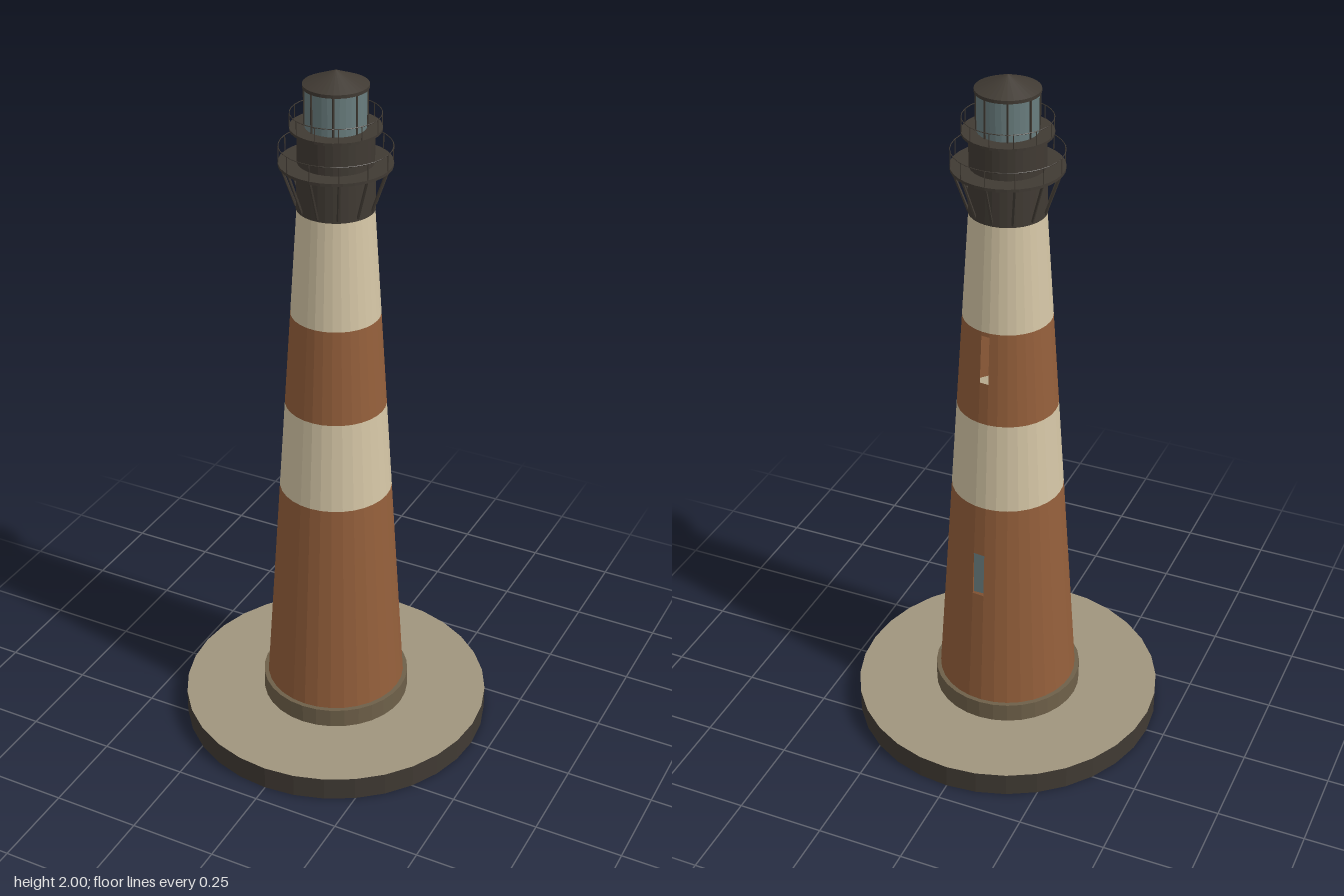
import * as THREE from 'three';

const SEG = 32, STEP = (Math.PI * 2) / SEG;

export function createModel() {
  const group = new THREE.Group();
  const mat = (name, color) => {
    const m = new THREE.MeshStandardMaterial({ color, flatShading: true, side: THREE.DoubleSide });
    m.name = name;
    return m;
  };
  const brick = mat('brick red', 0x945f3b);
  const cream = mat('cream', 0xd5c6a6);
  const stone = mat('pale stone', 0xa0957e);
  const plinthStone = mat('brown stone', 0x6e6049);
  const iron = mat('dark iron', 0x403a33);
  const glass = mat('glass', 0x697d7e);

  const add = (name, geo, material, parent = group) => {
    const mesh = new THREE.Mesh(geo, material);
    mesh.name = name;
    parent.add(mesh);
    return mesh;
  };
  // upright tube or solid drum between two heights
  const drum = (name, y0, y1, r0, r1, material, open = false, start = 0, segs = SEG) => {
    const geo = new THREE.CylinderGeometry(r1, r0, y1 - y0, segs, 1, open, start, segs * STEP);
    return add(name, geo.translate(0, (y0 + y1) / 2, 0), material);
  };
  // flat horizontal ring
  const ring = (name, y, inner, outer, material) => {
    const geo = new THREE.RingGeometry(inner, outer, SEG).rotateX(-Math.PI / 2);
    return add(name, geo.translate(0, y, 0), material);
  };
  // thin bar between two points
  const bar = (name, a, b, r, material, parent) => {
    const path = new THREE.LineCurve3(a, b);
    return add(name, new THREE.TubeGeometry(path, 1, r, 5), material, parent);
  };
  const polar = (r, y, t) => new THREE.Vector3(r * Math.sin(t), y, r * Math.cos(t));

  // Ground slab, open underneath, and hollow plinth
  drum('slabEdge', 0, 0.07, 0.447, 0.447, iron, true);
  ring('slabTop', 0.07, 0.214, 0.447, stone);
  drum('plinth', 0.07, 0.127, 0.214, 0.214, plinthStone, true);
  ring('plinthLedge', 0.127, 0.2, 0.214, plinthStone);

  // Tapered tower in painted bands; rows with a window leave one side open
  const radius = (y) => 0.201 - ((y - 0.127) * 0.098) / 1.498;
  const rows = [
    [0.127, 0.49, brick], [0.49, 0.625, brick, true], [0.625, 0.78, brick],
    [0.78, 1.045, cream],
    [1.045, 1.168, brick], [1.168, 1.308, brick, true], [1.308, 1.32, brick],
    [1.32, 1.625, cream],
  ];
  for (const [y0, y1, material, hasWindow] of rows) {
    drum('towerBand', y0, y1, radius(y0), radius(y1), material, true,
      hasWindow ? Math.PI : 0, hasWindow ? SEG - 1 : SEG);
  }
  const pane = add('windowPane', new THREE.PlaneGeometry(0.034, 0.135), glass);
  pane.position.set(0.017, 0.5575, -0.165);
  pane.rotation.y = Math.PI;

  // Watch room, galleries
  drum('watchRoomBase', 1.625, 1.745, 0.105, 0.102, iron);
  drum('lowerDeck', 1.746, 1.754, 0.15, 0.15, iron);
  drum('watchRoom', 1.754, 1.845, 0.101, 0.101, iron);
  drum('upperDeck', 1.843, 1.85, 0.12, 0.12, iron);

  // Railing of posts and hoops
  const railing = (name, r, y0, y1) => {
    const g = new THREE.Group();
    g.name = name;
    for (let i = 0; i < 12; i++) {
      const t = (i * Math.PI) / 6;
      bar('post', polar(r, y0, t), polar(r, y1, t), 0.0015, iron, g);
    }
    const hoop = new THREE.TorusGeometry(r, 0.0012, 5, SEG).rotateX(Math.PI / 2);
    add('rail', hoop.translate(0, y1, 0), iron, g);
    group.add(g);
  };
  railing('lowerRailing', 0.1485, 1.754, 1.798);
  railing('upperRailing', 0.1185, 1.85, 1.887);

  // Sloping brackets under the lower deck
  for (let i = 0; i < 12; i++) {
    const t = (i * Math.PI) / 6;
    bar('bracket', polar(0.104, 1.632, t), polar(0.144, 1.747, t), 0.004, iron);
  }

  // Lantern with glazing bars and conical roof
  drum('lanternGlass', 1.85, 1.958, 0.08, 0.08, glass);
  for (let i = 0; i < 8; i++) {
    const t = ((i + 0.5) * Math.PI) / 4;
    bar('glazingBar', polar(0.081, 1.85, t), polar(0.081, 1.958, t), 0.003, iron);
  }
  drum('roofRim', 1.955, 1.964, 0.086, 0.086, iron);
  const roof = new THREE.ConeGeometry(0.086, 0.036, SEG, 1, true);
  add('roof', roof.translate(0, 1.982, 0), iron);

  return group;
}
